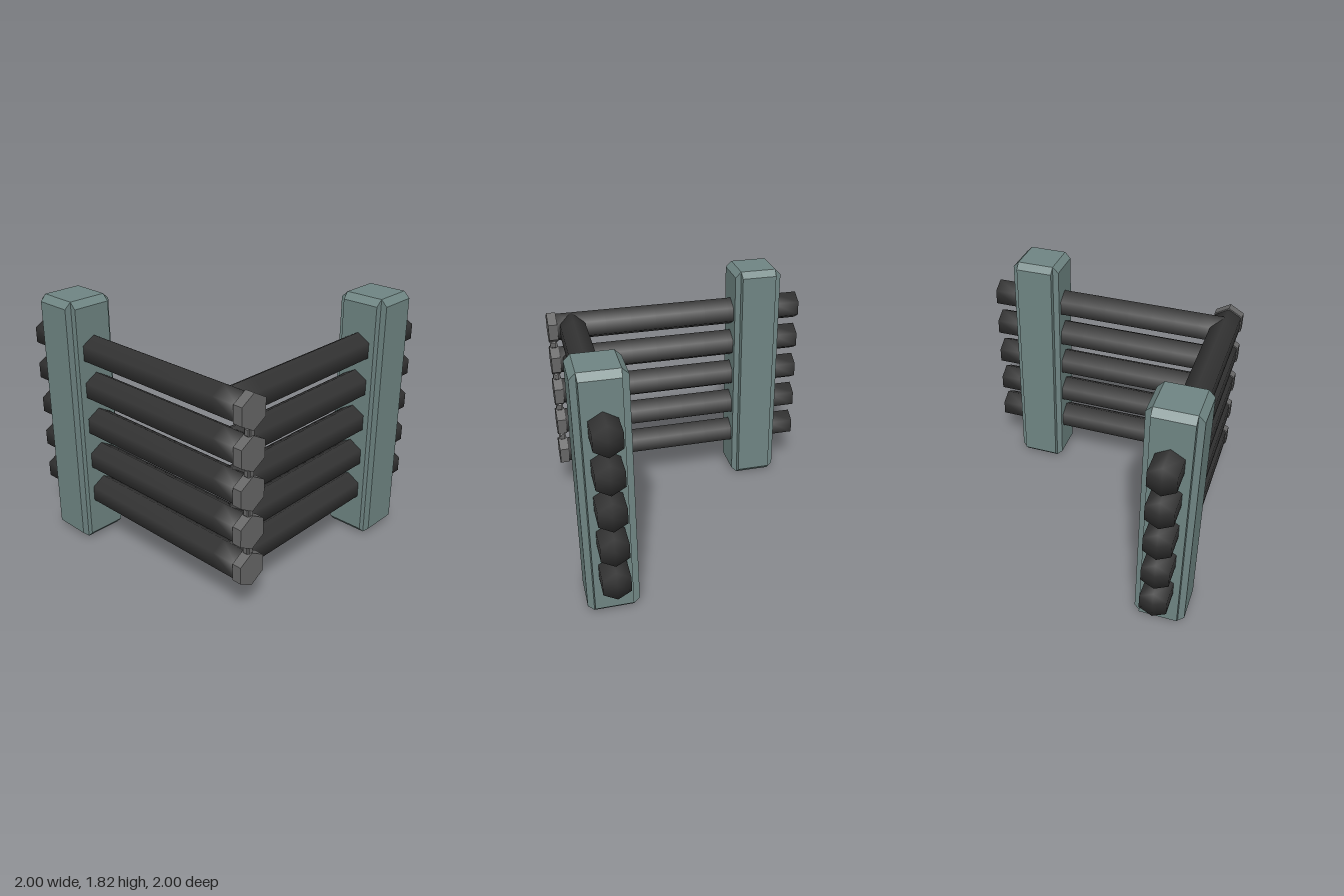
import * as THREE from 'three';
import { mergeVertices } from 'three/addons/utils/BufferGeometryUtils.js';

const paint = (color, flatShading) => new THREE.MeshStandardMaterial({ color, flatShading });
const postMat = paint(0x6f8583, true);
const barMat = paint(0x333333, false);
const capMat = paint(0x666666, true);

const BAR_AXIS = 0.816;
const rowY = (i) => 0.365 + i * 0.2727;

function add(parent, name, geometry, material, x = 0, y = 0, z = 0) {
  const mesh = new THREE.Mesh(geometry, material);
  mesh.name = name;
  mesh.position.set(x, y, z);
  parent.add(mesh);
  return mesh;
}

// Square pillar with a raised, bevelled panel on each side, leaving notched corners
function pillar(name, width, height, bevel, material) {
  const group = new THREE.Group();
  group.name = name;
  const core = width - 2 * bevel;
  add(group, name + 'Core', new THREE.BoxGeometry(core, height, core), material, 0, height / 2);
  for (let i = 0; i < 4; i++) {
    const panel = new THREE.BoxGeometry(core, height, bevel);
    const p = panel.attributes.position;
    // Pull the outer face in at the top and bottom, and slightly at the sides
    const squeeze = i % 2 ? 1 : 0.97;
    for (let v = 0; v < p.count; v++) {
      if (p.getZ(v) > 0) {
        p.setX(v, p.getX(v) * squeeze);
        p.setY(v, p.getY(v) - Math.sign(p.getY(v)) * bevel);
      }
    }
    panel.translate(0, 0, (core + bevel) / 2);
    panel.rotateY(i * Math.PI / 2);
    add(group, name + 'Panel', panel, material, 0, height / 2);
  }
  return group;
}

// Six-sided prism along x from x0 to x1, with an edge at the top
function hexAlongX(radius, x0, x1, segments = 1) {
  const g = new THREE.CylinderGeometry(radius, radius, x1 - x0, 6, segments);
  g.rotateY(Math.PI / 6).rotateZ(Math.PI / 2).translate((x0 + x1) / 2, 0, 0);
  return g;
}

// Bar with normals blended all round, including the ends
function softBar(x0, x1) {
  const g = hexAlongX(0.11, x0, x1, 10);
  g.deleteAttribute('normal');
  g.deleteAttribute('uv');
  const merged = mergeVertices(g, 1e-4);
  merged.computeVertexNormals();
  return merged;
}

export function createModel() {
  const model = new THREE.Group();
  model.name = 'cornerFence';

  // Two posts
  for (const [name, x, z] of [['frontPost', -0.637, 0.818], ['backPost', 0.818, -0.637]]) {
    const post = pillar(name, 0.364, 1.818, 0.044, postMat);
    post.position.set(x, 0, z);
    model.add(post);
  }

  // Five rows of rails meeting at the corner, with end caps
  const frontBar = softBar(-1, 0.95);
  const sideBar = softBar(-BAR_AXIS, 1).rotateY(Math.PI / 2);
  const cap = hexAlongX(0.121, 0.932, 1);
  for (let i = 0; i < 5; i++) {
    const y = rowY(i);
    add(model, 'frontRail', frontBar, barMat, 0, y, BAR_AXIS);
    add(model, 'sideRail', sideBar, barMat, BAR_AXIS, y, 0);
    add(model, 'railCap', cap, capMat, 0, y, BAR_AXIS);
    // Small link between neighbouring caps
    if (i < 4) {
      const link = pillar('capLink', 0.054, 0.064, 0.012, capMat);
      link.position.set(0.965, (y + rowY(i + 1)) / 2 - 0.032, BAR_AXIS);
      model.add(link);
    }
  }
  return model;
}
